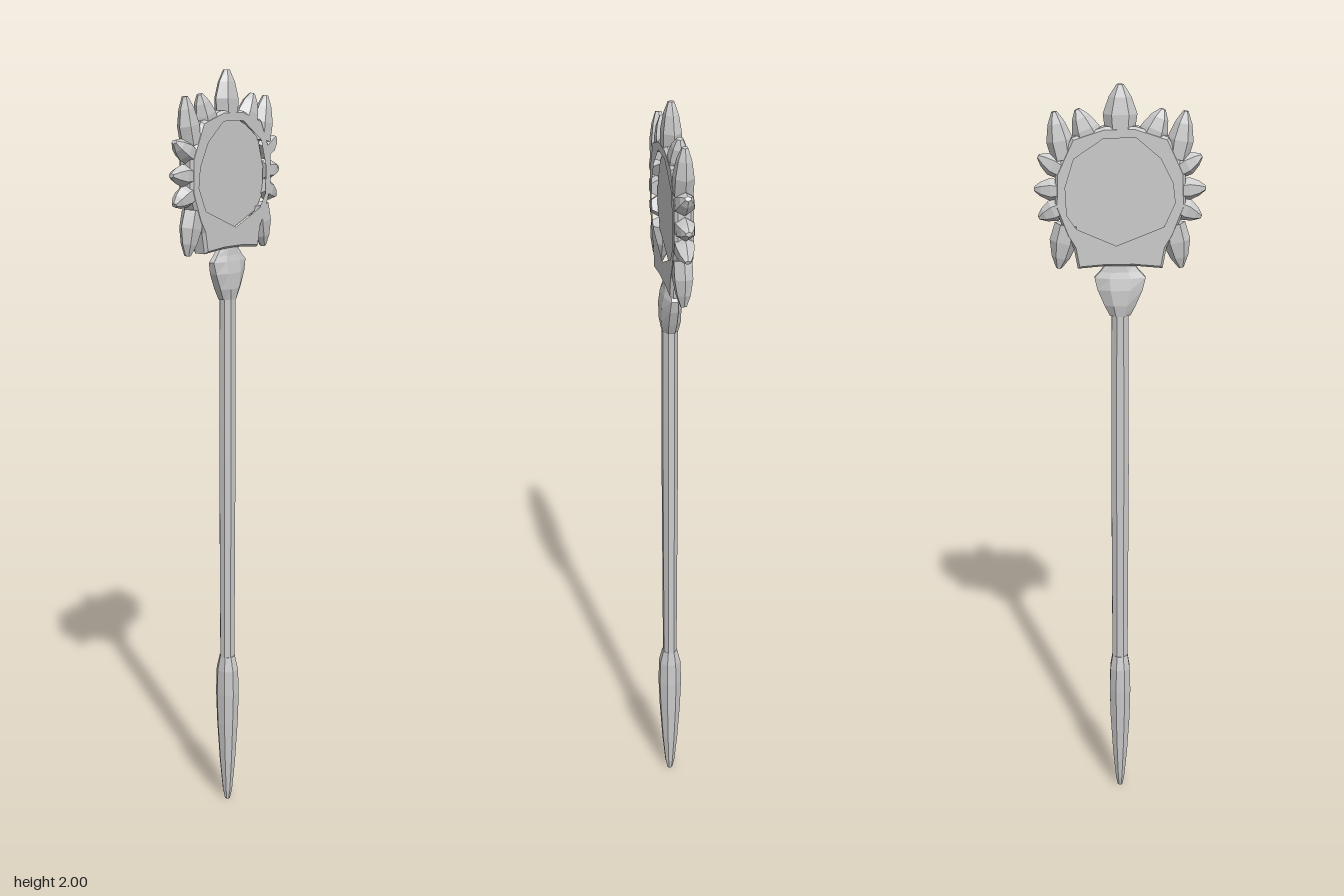
import * as THREE from 'three';

const material = new THREE.MeshStandardMaterial({ color: 0xcccccc, flatShading: true });

// Faceted solid stacked from rings [y, halfWidth, halfDepth], closed at both ends
function loft(name, rings, sides = 8) {
  const geo = new THREE.CylinderGeometry(1, 1, 1, sides, rings.length - 1);
  const pos = geo.attributes.position;
  const turn = Math.PI / sides;
  const stretch = 1 / Math.cos(turn);
  for (let i = 0; i < pos.count; i++) {
    const row = Math.round((pos.getY(i) + 0.5) * (rings.length - 1));
    const [y, hx, hz] = rings[row];
    const x = pos.getX(i), z = pos.getZ(i);
    const rx = (x * Math.cos(turn) - z * Math.sin(turn)) * stretch;
    const rz = (x * Math.sin(turn) + z * Math.cos(turn)) * stretch;
    pos.setXYZ(i, rx * hx, y, rz * hz);
  }
  geo.computeVertexNormals();
  const mesh = new THREE.Mesh(geo, material);
  mesh.name = name;
  return mesh;
}

// Leaf-shaped petal from a base point to a tip
function petal(name, [bx, by], [tx, ty], w, baseW = 0.85) {
  const len = Math.hypot(tx - bx, ty - by);
  const mesh = loft(name, [
    [0, w * baseW, 0.022],
    [len * 0.4, w, 0.022],
    [len * 0.75, w * 0.66, 0.016],
    [len, w * 0.2, 0.007],
  ], 6);
  mesh.position.set(bx, by, -0.003);
  mesh.rotation.z = -Math.atan2(tx - bx, ty - by);
  return mesh;
}

const toPoints = (list) => list.map(([x, y]) => new THREE.Vector2(x, y));

export function createModel() {
  const group = new THREE.Group();

  // Handle
  const grip = loft('grip', [
    [0, 0.007, 0.007], [0.03, 0.012, 0.013], [0.12, 0.02, 0.021], [0.24, 0.027, 0.028],
    [0.33, 0.029, 0.031], [0.4, 0.027, 0.029], [0.44, 0.021, 0.02],
  ]);
  group.add(grip);
  group.add(loft('shaft', [[0.42, 0.021, 0.018], [1.0, 0.023, 0.02], [1.46, 0.021, 0.019]]));
  group.add(loft('collar', [
    [1.432, 0.026, 0.02], [1.46, 0.04, 0.025], [1.5, 0.057, 0.025],
    [1.53, 0.064, 0.02], [1.545, 0.05, 0.016], [1.565, 0.034, 0.014],
  ]));

  const head = new THREE.Group();
  head.name = 'flowerHead';
  group.add(head);

  // Ring with an uneven faceted opening and a broad lower lip
  const half = [
    [0.037, 1.9], [0.115, 1.875], [0.155, 1.79], [0.157, 1.71],
    [0.13, 1.64], [0.112, 1.61], [0.103, 1.56], [0.035, 1.566],
  ];
  const outline = [...half, ...half.map(([x, y]) => [-x, y]).reverse()];
  const opening = [
    [-0.04, 1.88], [0.04, 1.88], [0.115, 1.83], [0.137, 1.76], [0.134, 1.69], [0.11, 1.655],
    [0.01, 1.612], [-0.11, 1.66], [-0.137, 1.72], [-0.131, 1.77], [-0.1, 1.83],
  ];
  const shape = new THREE.Shape(toPoints(outline));
  shape.holes.push(new THREE.Path(toPoints(opening)));
  const ringGeo = new THREE.ExtrudeGeometry(shape, {
    depth: 0.03, bevelEnabled: true, bevelThickness: 0.008,
    bevelSize: 0.006, bevelOffset: -0.003, bevelSegments: 1,
  });
  const ring = new THREE.Mesh(ringGeo, material);
  ring.name = 'ring';
  ring.position.z = -0.018;
  head.add(ring);

  // Flat centre plate, sunk into the opening
  const plateGeo = new THREE.ExtrudeGeometry(new THREE.Shape(toPoints(opening)), {
    depth: 0.012, bevelEnabled: true, bevelThickness: 0.001, bevelSize: 0.005, bevelSegments: 1,
  });
  const plate = new THREE.Mesh(plateGeo, material);
  plate.name = 'centrePlate';
  plate.position.z = -0.009;
  head.add(plate);

  // Petals: one on top, the rest mirrored left and right
  head.add(petal('topPetal', [0, 1.885], [0, 2], 0.036));
  const sidePetals = [
    ['upperInnerPetal', [0.072, 1.865], [0.103, 1.942], 0.029, 1.2],
    ['upperOuterPetal', [0.138, 1.825], [0.158, 1.937], 0.028],
    ['sideHighPetal', [0.14, 1.797], [0.198, 1.832], 0.024],
    ['sideMiddlePetal', [0.145, 1.75], [0.21, 1.753], 0.024],
    ['sideLowPetal', [0.14, 1.71], [0.2, 1.682], 0.024],
    ['lowerPetal', [0.132, 1.665], [0.153, 1.555], 0.03],
  ];
  for (const [name, base, tip, w, baseW] of sidePetals) {
    for (const side of [1, -1]) {
      const label = (side > 0 ? 'left ' : 'right ') + name;
      head.add(petal(label, [base[0] * side, base[1]], [tip[0] * side, tip[1]], w, baseW));
    }
  }
  return group;
}
